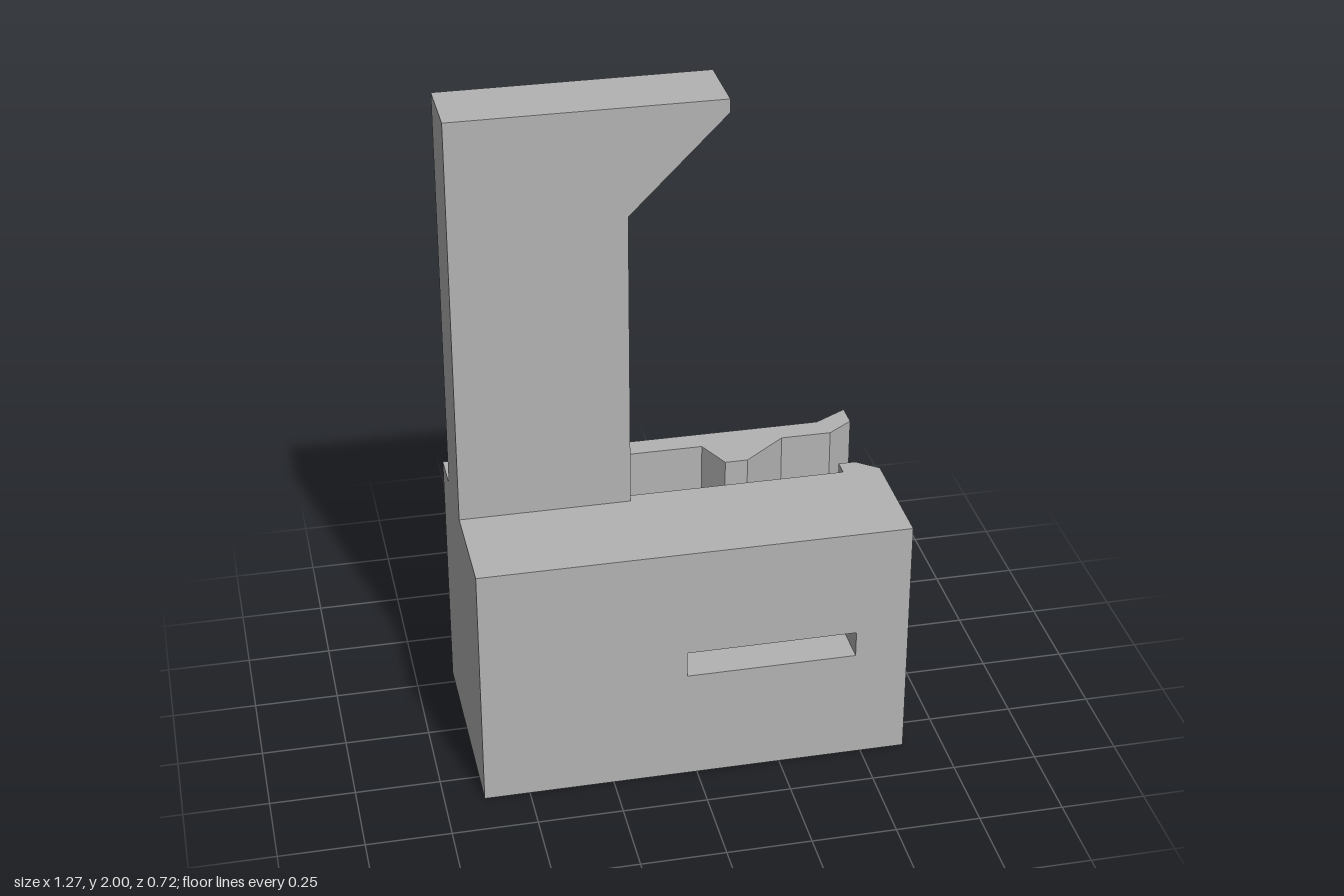
import * as THREE from 'three';

const H = 0.762;                 // height of the clip body
const BACK = -0.3, ARM_IN = -0.227, BLOCK = -0.175, INNER = 0.008, FRONT = 0.358;

const toShape = (pts) => new THREE.Shape(pts.map(([x, y]) => new THREE.Vector2(x, y)));

export function createModel() {
  const model = new THREE.Group();
  model.name = 'clipWithHook';
  const grey = new THREE.MeshStandardMaterial({ color: 0xb3b3b3 });
  grey.name = 'grey';

  const add = (name, geometry) => {
    const mesh = new THREE.Mesh(geometry, grey);
    mesh.name = name;
    model.add(mesh);
  };
  // Side outline (x, y) extruded along z
  const upright = (name, shape, z0, z1) => {
    const g = new THREE.ExtrudeGeometry(shape, { depth: z1 - z0, bevelEnabled: false });
    add(name, g.translate(0, 0, z0));
  };
  // Plan outline (x, z) extruded along y
  const plan = (name, pts, y0, y1) => {
    const g = new THREE.ExtrudeGeometry(toShape(pts), { depth: y1 - y0, bevelEnabled: false });
    add(name, g.rotateX(Math.PI / 2).translate(0, y1, 0));
  };

  // Front slab with its long slot
  const slab = toShape([[-0.634, 0], [0.632, 0], [0.632, H], [-0.634, H]]);
  slab.holes.push(new THREE.Path([[-0.03, 0.345], [-0.03, 0.425], [0.475, 0.425], [0.475, 0.345]]
    .map(([x, y]) => new THREE.Vector2(x, y))));
  upright('frontSlab', slab, INNER, FRONT);

  // Catch lip on the free end of the slab
  plan('catchLip', [[0.519, INNER], [0.519, -0.042], [0.57, -0.042], [0.632, INNER]], 0, H);

  // Rear block joined to the spring arm around a chamfered slot
  const root = [[-0.13, INNER], [-0.13, BLOCK], [-0.41, BLOCK], [-0.449, -0.191],
    [-0.449, -0.21], [-0.41, ARM_IN]];
  const corner = [[-0.634, BACK], [-0.634, INNER]];
  const bump = [[0.142, ARM_IN], [0.19, -0.12], [0.258, -0.12], [0.39, ARM_IN]];
  const flare = [[0.542, ARM_IN], [0.62, -0.283], [0.62, -0.358], [0.519, BACK]];

  // Full arm above and below the window
  for (const [name, y0, y1] of [['lowerArm', 0, 0.27], ['upperArm', 0.498, H]]) {
    plan(name, [...root, ...bump, ...flare, ...corner], y0, y1);
  }
  // Arm on either side of the window
  plan('armRoot', [...root, [-0.05, ARM_IN], [-0.05, BACK], ...corner], 0.27, 0.498);
  plan('armTip', [[0.49, ARM_IN], ...flare, [0.49, BACK]], 0.27, 0.498);

  // Tall post with the hooked top
  upright('hookPost', toShape([[-0.634, H], [-0.13, H], [-0.13, 1.675], [0.155, 1.96],
    [0.155, 2], [-0.634, 2]]), BLOCK, 0.039);

  return model;
}
